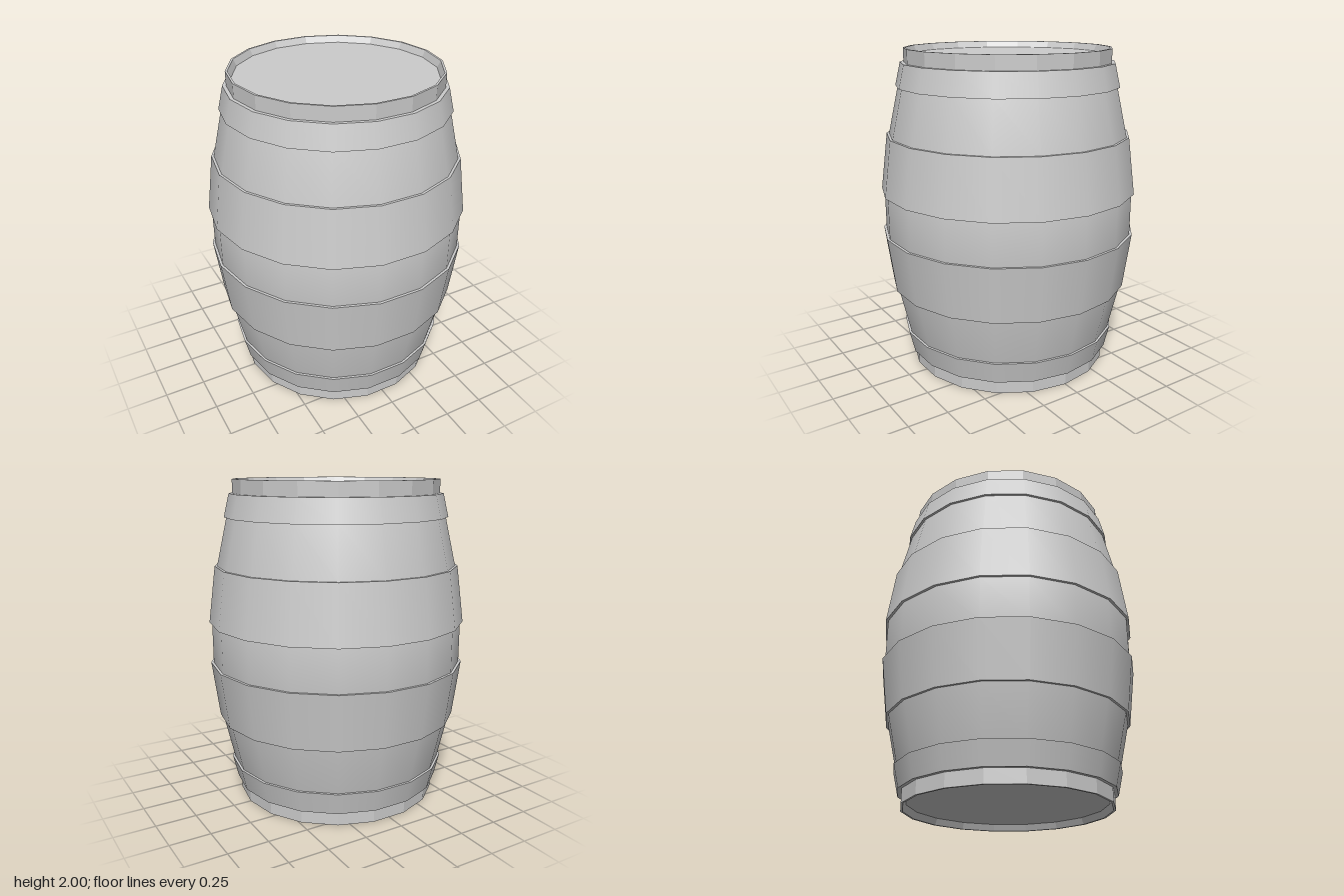
import * as THREE from 'three';
import { mergeGeometries } from 'three/addons/utils/BufferGeometryUtils.js';

const SIDES = 18;

// Revolve a profile of [radius, y] points (smooth along the profile)
function band(points) {
  const profile = points.map(([r, y]) => new THREE.Vector2(r, y));
  return new THREE.LatheGeometry(profile, SIDES, Math.PI / 2);
}

// Revolve a profile with a sharp edge at every point
function creased(points) {
  const parts = [];
  for (let i = 0; i < points.length - 1; i++) parts.push(band([points[i], points[i + 1]]));
  return mergeGeometries(parts);
}

// Mirror a profile about mid height, keeping its outward direction
const flip = (points) => points.map(([r, y]) => [r, 2 - y]).reverse();

export function createModel() {
  const group = new THREE.Group();
  const smooth = new THREE.MeshStandardMaterial({ color: 0xcccccc });
  const flat = new THREE.MeshStandardMaterial({ color: 0xcccccc, flatShading: true });

  function add(name, geometry, material = smooth) {
    const mesh = new THREE.Mesh(geometry, material);
    mesh.name = name;
    group.add(mesh);
  }

  // Bulging wall of staves
  const upper = [[0.787, 1.13], [0.742, 1.48], [0.675, 1.775], [0.637, 1.915]];
  add('staves', band([...flip(upper), ...upper]));

  // Rim, recessed lid and hoops; the lower set mirrors the upper one
  const rim = [[0.635, 1.9], [0.635, 2], [0.622, 2], [0.603, 1.96]];
  const lid = [[0.603, 1.96], [0, 1.96]];
  const endHoop = [[0.67, 1.775], [0.69, 1.775], [0.657, 1.915], [0.63, 1.915]];
  const bellyHoop = [[0.78, 1.13], [0.803, 1.13], [0.757, 1.48], [0.735, 1.48]];

  for (const [prefix, place] of [['top', (p) => p], ['bottom', flip]]) {
    add(prefix + 'Rim', creased(place(rim)), flat);
    add(prefix + 'Lid', creased(place(lid)), flat);
    add(prefix + 'EndHoop', creased(place(endHoop)));
    add(prefix + 'BellyHoop', creased(place(bellyHoop)));
  }
  return group;
}
